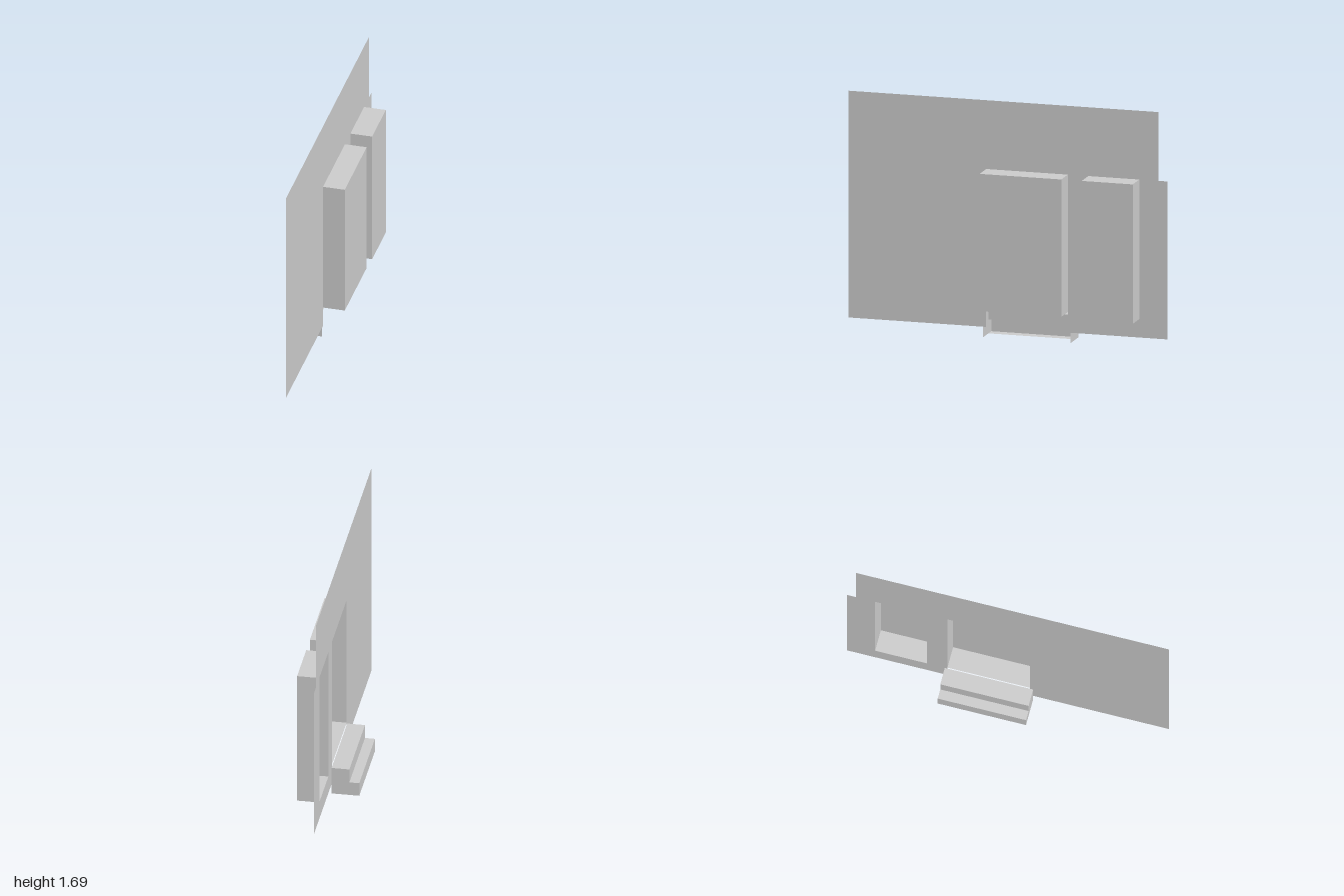
import * as THREE from 'three';

const panelGrey = new THREE.MeshStandardMaterial({ color: 0xcccccc, side: THREE.DoubleSide });
panelGrey.name = 'panelGrey';

// Face order of BoxGeometry: +x, -x, +y, -y, +z, -z
const FACES = ['left', 'right', 'top', 'bottom', 'front', 'back'];

// Thin box shell between two corners, leaving out the named faces
function shell(name, [x0, y0, z0], [x1, y1, z1], open) {
  const geo = new THREE.BoxGeometry(x1 - x0, y1 - y0, z1 - z0);
  const index = Array.from(geo.index.array);
  geo.setIndex(FACES.flatMap((f, i) => (open.includes(f) ? [] : index.slice(i * 6, i * 6 + 6))));
  geo.clearGroups();
  geo.translate((x0 + x1) / 2, (y0 + y1) / 2, (z0 + z1) / 2);
  const mesh = new THREE.Mesh(geo, panelGrey);
  mesh.name = name;
  return mesh;
}

export function createModel() {
  const model = new THREE.Group();
  model.name = 'wallWithNichesAndSteps';

  // Everything is built along the wall, then turned to its slanted position
  const along = new THREE.Group();
  along.name = 'wallAssembly';
  along.rotation.y = -Math.PI / 3;
  model.add(along);

  const half = 1.155, base = 0.075, top = 1.69, lintel = 1.2;
  const door = [-0.434, 0.158];
  const niche = [-0.952, -0.582];
  const nicheFloor = 0.207, depth = 0.156;

  // Flat wall with a doorway open at the bottom and a notched upper corner
  const outline = new THREE.Shape([
    [-half, base], [door[0], base], [door[0], lintel], [door[1], lintel], [door[1], base],
    [half, base], [half, top], [-1.09, top], [-1.09, lintel], [-half, lintel],
  ].map(([x, y]) => new THREE.Vector2(x, y)));

  // Window opening in front of the smaller niche
  outline.holes.push(new THREE.Path([
    [niche[0], nicheFloor], [niche[0], lintel], [niche[1], lintel], [niche[1], nicheFloor],
  ].map(([x, y]) => new THREE.Vector2(x, y))));

  const wall = new THREE.Mesh(new THREE.ShapeGeometry(outline), panelGrey);
  wall.name = 'wall';
  along.add(wall);

  // Hollow niches behind the openings
  along.add(
    shell('doorNiche', [door[0], 0.222, -depth], [door[1], lintel, 0], ['front']),
    shell('windowNiche', [niche[0], nicheFloor, -depth], [niche[1], lintel, 0], ['front']),
  );

  // Hollow two-tread steps in front of the doorway
  const s0 = -0.453, s1 = 0.18;
  along.add(
    shell('upperStep', [s0, 0.1, 0], [s1, 0.203, 0.125], ['back', 'bottom']),
    shell('lowerStep', [s0, 0, 0.125], [s1, 0.1, 0.195], ['back']),
    shell('stepSides', [s0, 0, 0], [s1, 0.1, 0.125], ['top', 'bottom', 'front', 'back']),
  );

  return model;
}
